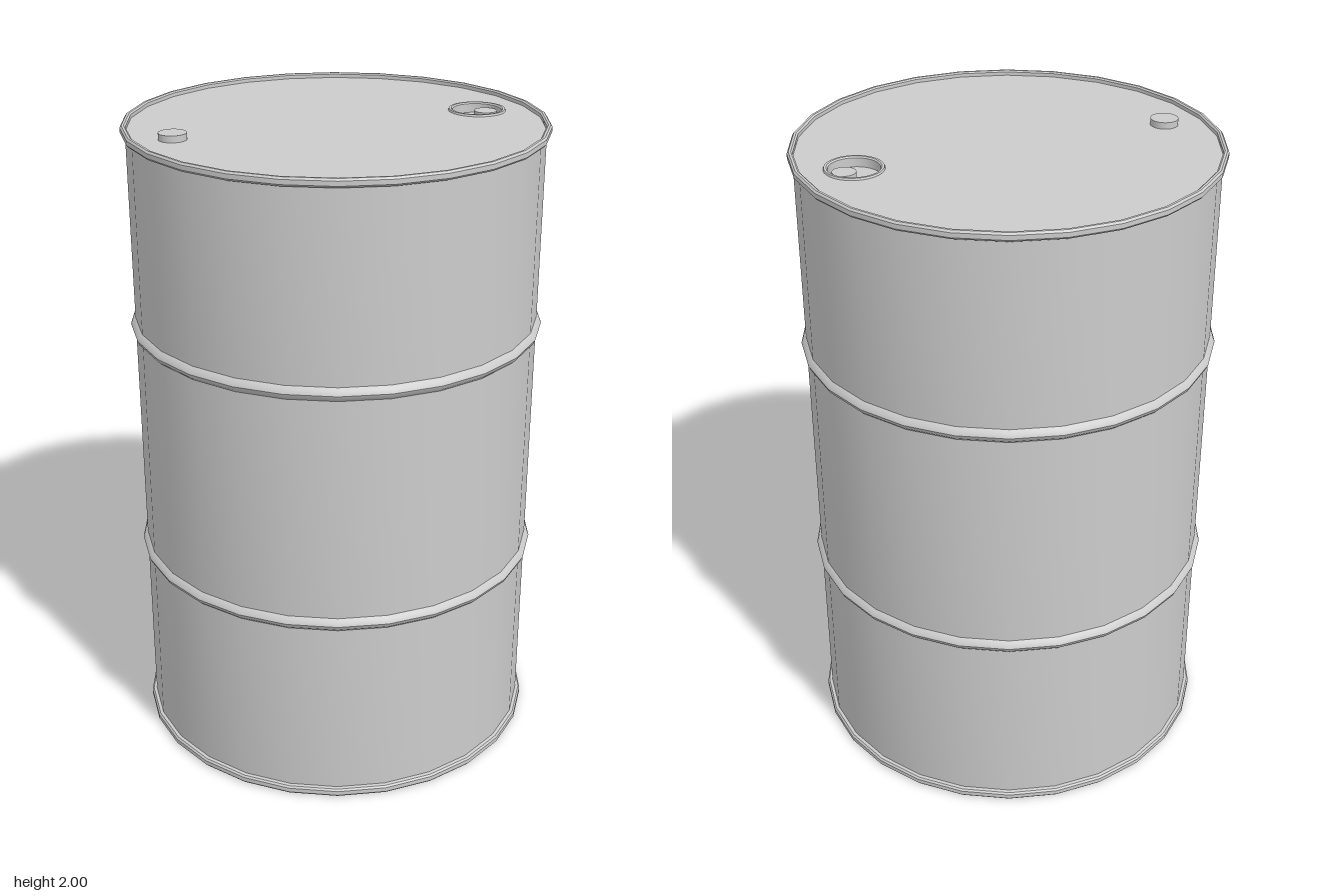
import * as THREE from 'three';
import { toCreasedNormals } from 'three/addons/utils/BufferGeometryUtils.js';

const SIDES = 26;
const START = Math.PI * 0.75; // puts a corner on the diagonal through both bungs
const LID_Y = 1.98;
const BODY_R = 0.624;

export function createModel() {
  const model = new THREE.Group();
  const steel = new THREE.MeshStandardMaterial({ color: 0xcccccc });
  steel.name = 'grey steel';

  const add = (name, geometry, x = 0, y = 0, z = 0) => {
    const mesh = new THREE.Mesh(geometry, steel);
    mesh.name = name;
    mesh.position.set(x, y, z);
    model.add(mesh);
  };
  const lathe = (profile, sides) => toCreasedNormals(new THREE.LatheGeometry(
    profile.map(([r, y]) => new THREE.Vector2(r, y)), sides, START), 0.55);

  // Rounded hoop pressed out of the wall
  const hoop = (y) => [[BODY_R, y - 0.021], [0.634, y - 0.012], [0.639, y],
    [0.634, y + 0.012], [BODY_R, y + 0.021]];

  // Shell: recessed base, bottom rim, wall with two hoops, top rim
  add('drumShell', lathe([
    [0, 0.012], [0.622, 0.012], [0.622, 0.004], [0.627, 0], [0.634, 0], [0.639, 0.006],
    [0.639, 0.02], [0.634, 0.026], [BODY_R, 0.028],
    ...hoop(0.625), ...hoop(1.375),
    [BODY_R, 1.967], [0.634, 1.969], [0.639, 1.975],
    [0.639, 1.989], [0.634, 1.995], [0.627, 1.995], [0.622, 1.991], [0.622, LID_Y],
  ], SIDES));

  // Lid with an opening for the filler well
  const wellX = 0.328, wellZ = -0.33;
  const lid = new THREE.Shape(Array.from({ length: SIDES }, (_, i) => {
    const a = START + i / SIDES * Math.PI * 2;
    return new THREE.Vector2(Math.sin(a) * 0.622, -Math.cos(a) * 0.622);
  }));
  lid.holes.push(new THREE.Path().absarc(wellX, -wellZ, 0.082, 0, Math.PI * 2, true));
  add('lid', new THREE.ShapeGeometry(lid, 16).rotateX(-Math.PI / 2), 0, LID_Y, 0);

  // Filler well: low lip, inner wall and sunken floor
  add('fillerWell', lathe([
    [0.088, LID_Y], [0.086, 1.986], [0.079, 1.986], [0.075, 1.982], [0.075, 1.955], [0, 1.955],
  ], 32), wellX, 0, wellZ);

  // Bungs: one standing on the lid, one inside the well
  const bung = (r) => new THREE.CylinderGeometry(r, r, 0.022, 28);
  add('lidBung', bung(0.042), -0.357, 1.989, 0.353);
  add('wellBung', bung(0.035), 0.348, 1.965, -0.353);

  return model;
}
